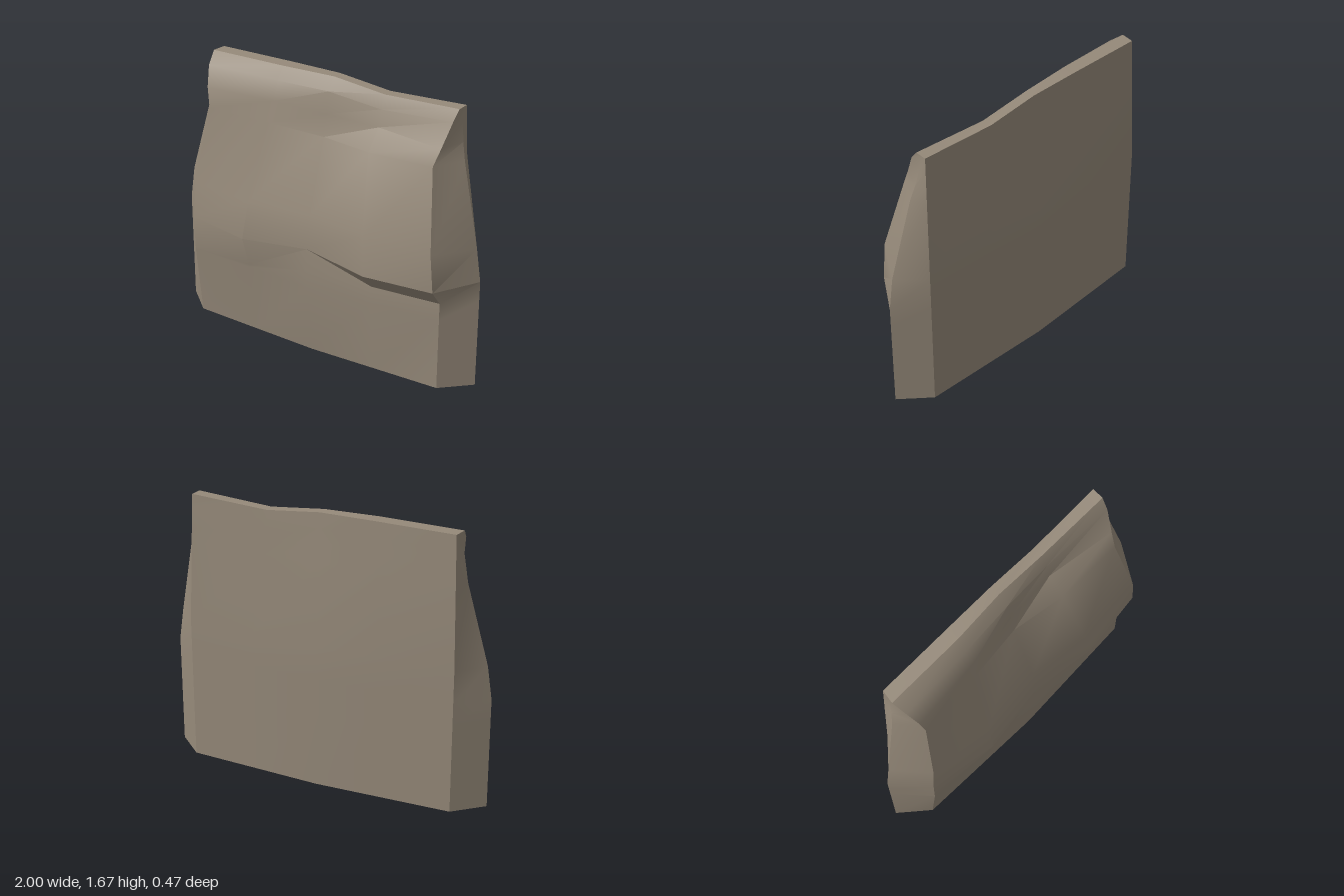
import * as THREE from 'three';
import { toCreasedNormals } from 'three/addons/utils/BufferGeometryUtils.js';

// Front face rows, bottom to top: five [x, y, z] points from the model's right to its left
const frontRows = [
  [[-0.83, 0, 0.10], [-0.42, 0, 0.115], [0, 0, 0.13], [0.41, 0, 0.115], [0.83, 0, 0.10]],
  [[-0.83, 0.45, 0.15], [-0.42, 0.45, 0.165], [0, 0.45, 0.19], [0.41, 0.45, 0.15], [0.83, 0.45, 0.10]],
  [[-0.83, 0.46, 0.15], [-0.42, 0.47, 0.17], [0, 0.56, 0.185], [0.41, 0.56, 0.14], [0.83, 0.56, 0.10]],
  [[-0.83, 0.67, 0.155], [-0.42, 0.67, 0.232], [0, 0.70, 0.18], [0.41, 0.67, 0.235], [0.83, 0.67, 0.19]],
  [[-0.81, 0.90, 0.15], [-0.40, 0.90, 0.19], [0, 0.90, 0.15], [0.38, 0.90, 0.20], [0.81, 0.90, 0.19]],
  [[-0.75, 1.37, 0.065], [-0.35, 1.36, 0.04], [0, 1.34, 0], [0.33, 1.35, 0.06], [0.74, 1.37, 0.07]],
  [[-0.77, 1.49, 0.05], [-0.33, 1.49, 0.015], [0, 1.47, -0.03], [0.33, 1.46, -0.048], [0.76, 1.46, 0.02]],
  [[-0.80, 1.60, -0.01], [-0.33, 1.60, -0.03], [0, 1.60, -0.05], [0.33, 1.56, -0.07], [0.79, 1.60, -0.05]],
  [[-0.82, 1.665, -0.09], [-0.33, 1.67, -0.09], [0, 1.67, -0.11], [0.33, 1.635, -0.11], [0.80, 1.66, -0.10]],
];
// Per row: height, side ridge x and z
const ridges = [
  [0, 1, -0.05], [0.45, 1, -0.05], [0.56, 1, -0.05], [0.68, 1, -0.05], [0.88, 0.97, -0.05],
  [1.37, 0.85, -0.09], [1.47, 0.825, -0.11], [1.58, 0.808, -0.13], [1.66, 0.802, -0.14],
];

function crossSection(front, [y, ridgeX, ridgeZ], isTop) {
  const t = Math.max(0, (y - 0.9) / 0.76);
  const lerp = THREE.MathUtils.lerp;
  const back = [0.83, 0.41, 0, -0.41, -0.83].map((x, i) => [
    x * lerp(1, i === 1 || i === 3 ? 0.8 : 0.97, t),
    isTop ? front[4 - i][1] : y,
    lerp(-0.235 + 0.035 * Math.abs(x) / 0.83, -0.172, t),
  ]);
  return [...front, [ridgeX, y, ridgeZ], ...back, [-ridgeX, y, ridgeZ]];
}

function slabGeometry() {
  const last = frontRows.length - 1;
  const rings = frontRows.map((row, j) => crossSection(row, ridges[j], j === last));
  const n = rings[0].length;
  const index = [];
  // Wall between neighbouring sections
  for (let j = 0; j < last; j++) {
    for (let i = 0; i < n; i++) {
      const k = (i + 1) % n;
      const a = j * n + i, b = j * n + k, c = b + n, d = a + n;
      // The fold under the ledge runs down towards the corner
      if (i === 2 && (j === 1 || j === 2)) index.push(a, b, d, b, c, d);
      else index.push(a, b, c, a, c, d);
    }
  }
  // Base and top, as strips from front to back
  const cap = (o, up) => {
    const tri = (a, b, c) => index.push(o + a, o + (up ? b : c), o + (up ? c : b));
    for (let i = 0; i < 4; i++) {
      tri(i, i + 1, 9 - i);
      tri(i, 9 - i, 10 - i);
    }
    tri(4, 5, 6);
    tri(0, 10, 11);
  };
  cap(0, false);
  cap(last * n, true);

  const geometry = new THREE.BufferGeometry();
  geometry.setAttribute('position', new THREE.Float32BufferAttribute(rings.flat(2), 3));
  geometry.setIndex(index);
  return toCreasedNormals(geometry, 0.55);
}

export function createModel() {
  const stone = new THREE.MeshStandardMaterial({ color: 0x968a7a });
  stone.name = 'stone';
  const slab = new THREE.Mesh(slabGeometry(), stone);
  slab.name = 'rockSlab';
  const group = new THREE.Group();
  group.name = 'standingRock';
  group.add(slab);
  return group;
}
